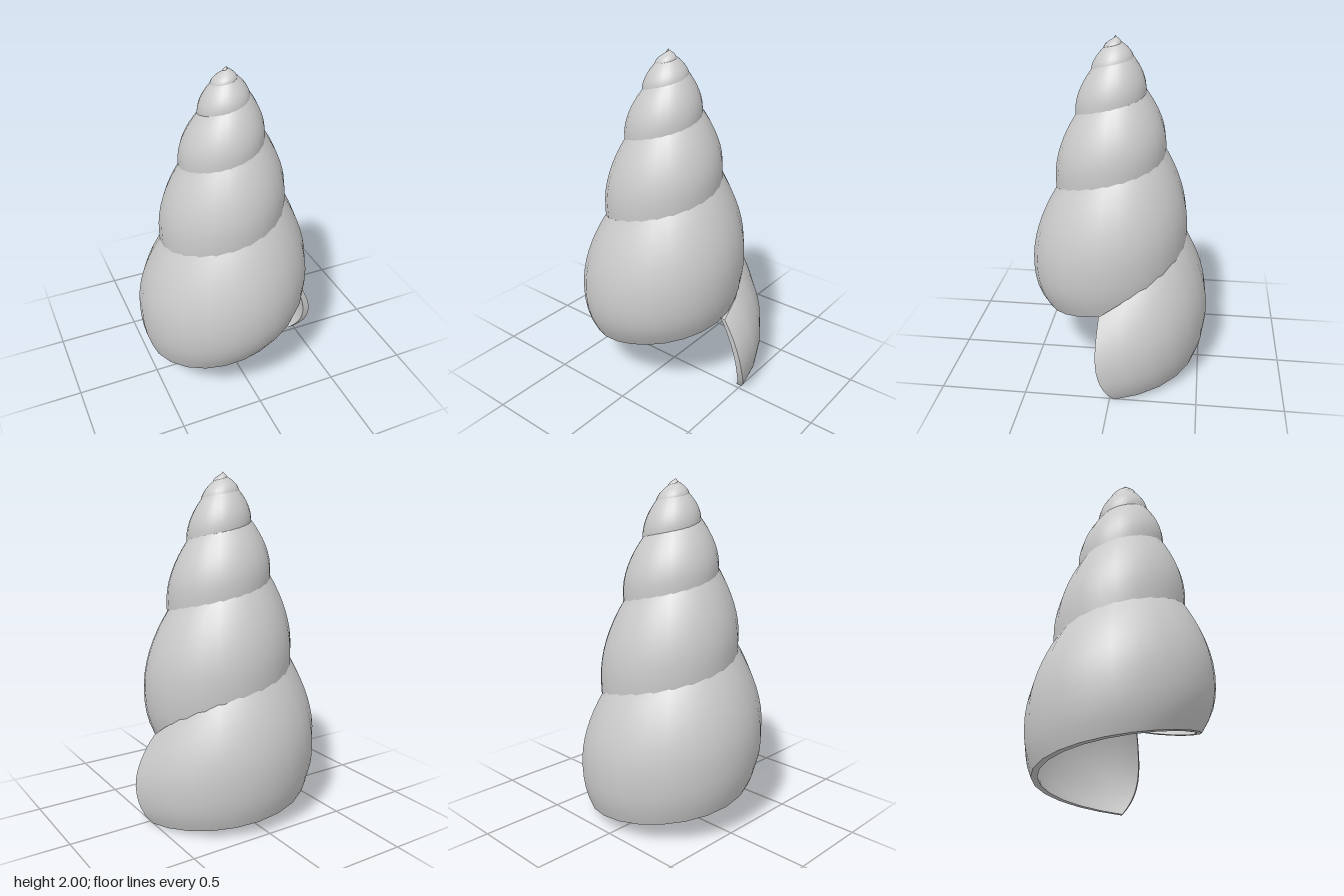
import * as THREE from 'three';

const TURNS = 6, PER_TURN = 24, RINGS = TURNS * PER_TURN, ROWS = 12;
const AXIS_X = -0.02, AXIS_Z = 0.025, WALL = 0.07;

// Every half turn from the lip to the tip: bulge radius, upper seam height, lower edge height
const spiral = new THREE.CatmullRomCurve3([
  [0.58, 0.70, 0.00], [0.54, 0.98, 0.21], [0.465, 1.25, 0.50], [0.39, 1.46, 0.80],
  [0.32, 1.64, 1.10], [0.265, 1.755, 1.32], [0.20, 1.86, 1.52], [0.155, 1.91, 1.66],
  [0.12, 1.95, 1.78], [0.085, 1.975, 1.86], [0.05, 1.99, 1.92], [0.02, 1.998, 1.95],
  [0, 2, 1.97],
].map((p) => new THREE.Vector3(...p)), false, 'catmullrom', 0.5);
const at = (t) => spiral.getPoint(Math.min(t / TURNS, 1));

// Point on the whorl wall: t in turns from the lip, v from lower edge (0) to seam (1)
function wallPoint(t, v, inner) {
  const { x: bulge, y: seam, z: low } = at(t);
  const top = seam - 0.2 * Math.pow(Math.max(0, 1 - t / 0.2), 1.5);
  const seamRadius = 0.97 * at(t + 1).x;
  let r;
  if (v > 0.38) {
    r = bulge - (bulge - seamRadius) * Math.pow((v - 0.38) / 0.62, 1.85);
  } else {
    const tuck = 0.09 + 0.1 * Math.exp(-(((t - 0.75) / 0.18) ** 2));
    r = bulge * (1 - tuck * Math.pow((0.38 - v) / 0.38, 2.6));
  }
  if (inner) r *= 1 - WALL;
  const a = 0.1 - 0.2 * Math.pow(1 - v, 4) - Math.PI * 2 * t;
  return [AXIS_X + r * Math.cos(a), low + (top - low) * v, AXIS_Z + r * Math.sin(a)];
}

// Smooth grid surface; its front looks along (i direction) x (j direction)
function grid(ni, nj, point, flip = false) {
  const pos = [], idx = [];
  for (let i = 0; i <= ni; i++) for (let j = 0; j <= nj; j++) pos.push(...point(i, j));
  for (let i = 0; i < ni; i++) {
    for (let j = 0; j < nj; j++) {
      const a = i * (nj + 1) + j, b = a + nj + 1;
      if (flip) idx.push(a, b + 1, b, a, a + 1, b + 1);
      else idx.push(a, b, b + 1, a, b + 1, a + 1);
    }
  }
  const g = new THREE.BufferGeometry();
  g.setAttribute('position', new THREE.Float32BufferAttribute(pos, 3));
  g.setIndex(idx);
  g.computeVertexNormals();
  return g;
}

export function createModel() {
  const group = new THREE.Group();
  group.name = 'spiralShell';
  const material = new THREE.MeshStandardMaterial({ color: 0xcccccc });
  const add = (name, geometry) => {
    const mesh = new THREE.Mesh(geometry, material);
    mesh.name = name;
    group.add(mesh);
  };

  // Coiled wall, outside and inside
  add('outerWall', grid(RINGS, ROWS, (i, j) => wallPoint(i / PER_TURN, j / ROWS, false)));
  add('innerWall', grid(RINGS, ROWS, (i, j) => wallPoint(i / PER_TURN, j / ROWS, true), true));
  // Thickness along the open lower edge
  add('lowerRim', grid(RINGS, 1, (i, j) => wallPoint(i / PER_TURN, 0, j === 0)));
  // Thickness at the free end of the coil
  add('lip', grid(1, ROWS, (i, j) => wallPoint(0, j / ROWS, i === 0)));
  return group;
}
